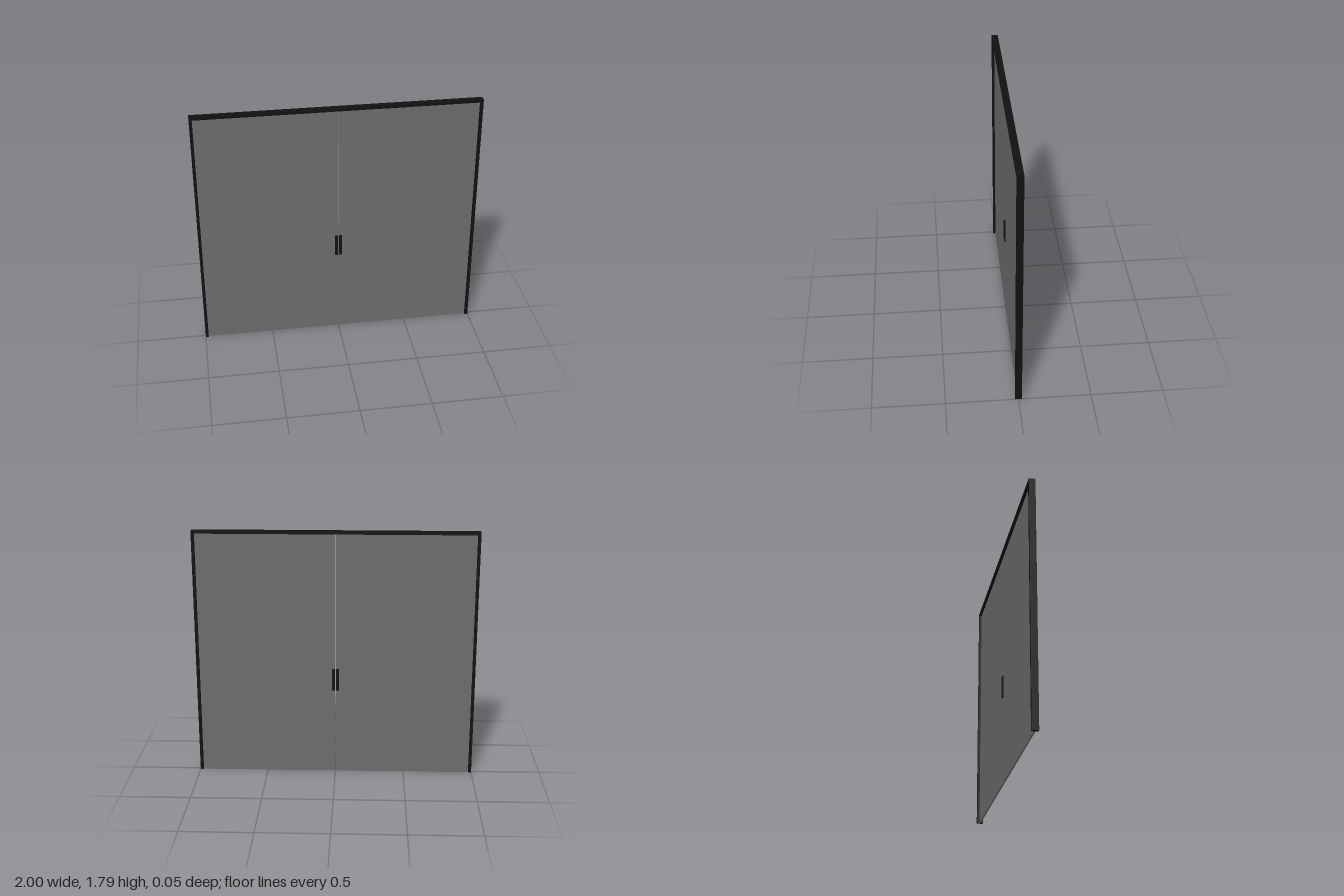
import * as THREE from 'three';

const WIDTH = 2, HEIGHT = 1.795, DEPTH = 0.046, BAR = 0.021;
const GAP = 0.005, GLASS = 0.01;

export function createModel() {
  const group = new THREE.Group();
  const black = new THREE.MeshStandardMaterial({ color: 0x111112 });
  const grey = new THREE.MeshStandardMaterial({ color: 0x6c6c6c });

  function box(name, w, h, d, x, y, z, material) {
    const mesh = new THREE.Mesh(new THREE.BoxGeometry(w, h, d), material);
    mesh.name = name;
    mesh.position.set(x, y, z);
    group.add(mesh);
  }

  // Top rail between the two posts
  box('topRail', WIDTH - 2 * BAR, BAR, DEPTH, 0, HEIGHT - BAR / 2, 0, black);

  const doorW = WIDTH / 2 - BAR - GAP / 2;
  const doorH = HEIGHT - BAR;
  for (const [side, s] of [['left', 1], ['right', -1]]) {
    // Side post of the frame
    box(side + 'Post', BAR, HEIGHT, DEPTH, s * (WIDTH / 2 - BAR / 2), HEIGHT / 2, 0, black);
    // Thin door leaf, leaving a slit in the middle
    box(side + 'Door', doorW, doorH, GLASS, s * (GAP / 2 + doorW / 2), doorH / 2, 0, grey);
    // Pull handles on both faces of the leaf
    for (const [face, f] of [['Front', 1], ['Back', -1]]) {
      box(side + face + 'Handle', 0.019, 0.16, 0.01, s * 0.0145, 0.71, f * (GLASS / 2 + 0.005), black);
    }
  }
  return group;
}
